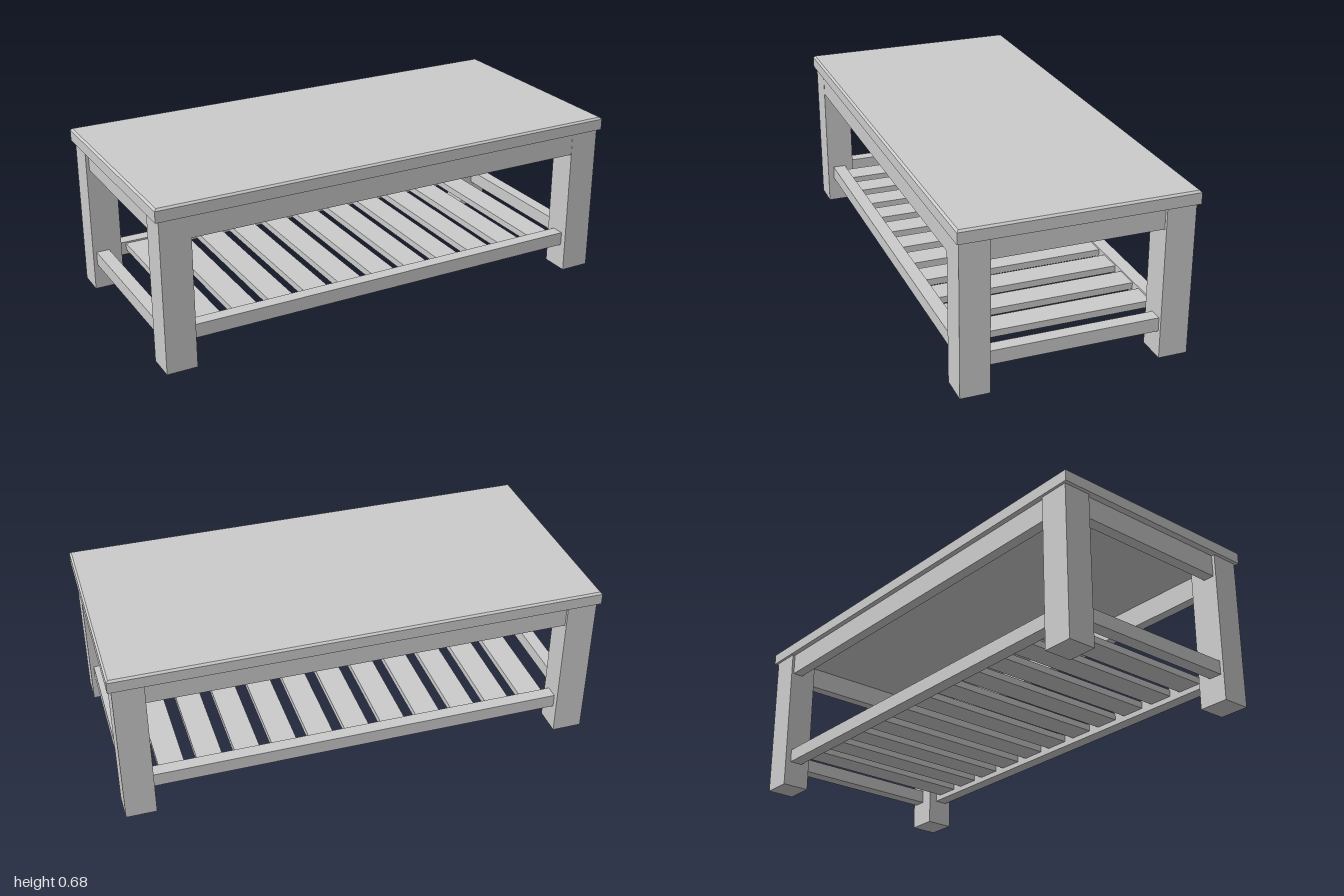
import * as THREE from 'three';

const material = new THREE.MeshStandardMaterial({ color: 0xcccccc, flatShading: true });

// Box given by its lower and upper limits on each axis
function slab(name, [x0, x1], [y0, y1], [z0, z1]) {
  const geometry = new THREE.BoxGeometry(x1 - x0, y1 - y0, z1 - z0);
  const mesh = new THREE.Mesh(geometry, material);
  mesh.position.set((x0 + x1) / 2, (y0 + y1) / 2, (z0 + z1) / 2);
  mesh.name = name;
  return mesh;
}

// Limits mirrored to the chosen side
const side = (s, inner, outer) => (s > 0 ? [inner, outer] : [-outer, -inner]);

export function createModel() {
  const table = new THREE.Group();
  table.name = 'coffeeTable';

  const legX = [0.86, 0.985], legZ = [0.342, 0.461];
  const apronY = [0.538, 0.63], railY = [0.11, 0.167];

  // Tabletop: square-edged board with a small chamfered upper edge
  table.add(slab('tabletop', [-1, 1], [0.63, 0.676], [-0.472, 0.472]));
  const chamfer = slab('tabletopChamfer', [-1, 1], [0.676, 0.684], [-0.472, 0.472]);
  const p = chamfer.geometry.attributes.position;
  for (let i = 0; i < p.count; i++) {
    if (p.getY(i) > 0) {
      p.setX(i, p.getX(i) - Math.sign(p.getX(i)) * 0.008);
      p.setZ(i, p.getZ(i) - Math.sign(p.getZ(i)) * 0.008);
    }
  }
  chamfer.geometry.computeVertexNormals();
  table.add(chamfer);

  // Legs
  for (const sx of [-1, 1]) {
    for (const sz of [-1, 1]) {
      table.add(slab('leg', side(sx, ...legX), [0, 0.63], side(sz, ...legZ)));
    }
  }

  // Long and short aprons and shelf rails between the legs
  for (const s of [-1, 1]) {
    const spanX = [-legX[0], legX[0]], spanZ = [-legZ[0], legZ[0]];
    const face = s > 0 ? 0.46 : 0.45;
    table.add(slab('longApron', spanX, apronY, side(s, face - 0.045, face)));
    table.add(slab('shortApron', spanZ.length && side(s, 0.925, 0.972), apronY, spanZ));
    table.add(slab('longShelfRail', spanX, railY, side(s, 0.38, 0.435)));
    table.add(slab('shortShelfRail', side(s, 0.915, 0.97), railY, spanZ));
  }

  // Shelf slats running front to back
  const count = 11, pitch = 0.155;
  for (let i = 0; i < count; i++) {
    const x = (i - (count - 1) / 2) * pitch;
    table.add(slab('shelfSlat', [x - 0.052, x + 0.052], [0.132, 0.16], [-0.385, 0.385]));
  }
  return table;
}
